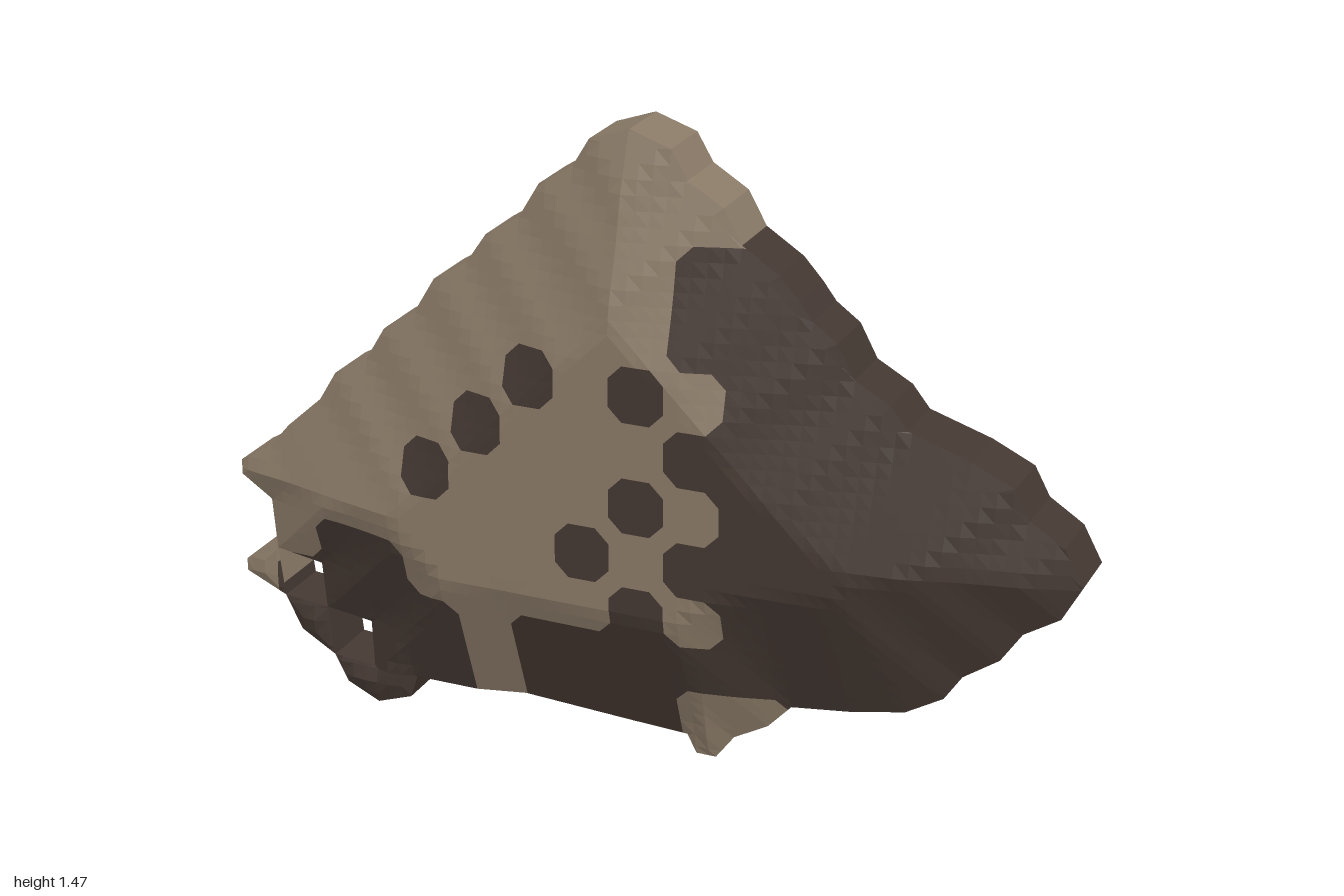
import * as THREE from 'three';

const CELL = 0.128, X0 = -0.021, Y0 = 0.087, SUB = 4; // mosaic grid
const RIM = 0.07, DOME = 0.185, SLOPE = 0.37;         // half thickness at rim and centre

// Clockwise outlines; the small pieces touch the body only at their corners
const pieces = {
  wingBody: [
    [-0.02, 1.465], [0.075, 1.433], [0.112, 1.37], [0.193, 1.32], [0.235, 1.245], [0.32, 1.19],
    [0.365, 1.14], [0.395, 1.1], [0.45, 1.06], [0.49, 0.985], [0.57, 0.94], [0.61, 0.89],
    [0.75, 0.845], [0.845, 0.8], [0.88, 0.735], [0.957, 0.685], [1, 0.605], [0.957, 0.525],
    [0.877, 0.475], [0.83, 0.405], [0.75, 0.35], [0.71, 0.29], [0.625, 0.24], [0.5, 0.215],
    [0.364, 0.198], [0.31, 0.14], [0.23, 0.095], [0.187, 0.037], [0.14, 0.037], [0.118, 0.08],
    [-0.016, 0.086], [-0.28, 0.1], [-0.405, 0.085], [-0.56, 0.085], [-0.578, 0.03],
    [-0.663, 0], [-0.743, 0.037], [-0.775, 0.1], [-0.67, 0.09], [-0.675, 0.205],
    [-0.79, 0.22], [-0.8, 0.33], [-0.915, 0.348], [-0.925, 0.47], [-1, 0.52], [-1, 0.556],
    [-0.92, 0.605], [-0.87, 0.663], [-0.785, 0.74], [-0.743, 0.81], [-0.663, 0.855],
    [-0.615, 0.935], [-0.535, 0.99], [-0.487, 1.07], [-0.406, 1.12], [-0.358, 1.19],
    [-0.278, 1.24], [-0.23, 1.32], [-0.15, 1.37], [-0.112, 1.433],
  ],
  lowerHook: [[-0.775, 0.1], [-0.86, 0.15], [-0.9, 0.23], [-0.79, 0.22]],
  tailTip: [[-0.9, 0.23], [-1, 0.275], [-1, 0.305], [-0.915, 0.348]],
};

// Mosaic rule: is the grid cell (column i, row j) dark?
const spots = new Set(['-6,2', '-5,2', '0,2', '-1,3', '-4,4', '0,4', '-3,5', '-2,6', '0,6']);
function isDark(i, j) {
  j = Math.max(j, 0);
  if (j >= 9 || i <= -8) return false;
  if (j === 0) return i !== -3 && i !== 1 && i !== 2;
  if (j === 1) return i !== -3;
  if (spots.has(i + ',' + j)) return true;
  const edge = j === 2 || j === 4 || j === 6 ? 2 : 1;
  return i >= edge;
}

// A lone cell corner takes the colour around it, which rounds the spots
function cornerDark(i, j, sx, sy) {
  const own = isDark(i, j);
  const alone = isDark(i + sx, j) !== own && isDark(i, j + sy) !== own;
  return alone && (own || isDark(i + sx, j + sy) !== own) ? !own : own;
}

function area(p) {
  return p.reduce((s, a, k) => {
    const b = p[(k + 1) % p.length];
    return s + (a[0] * b[1] - b[0] * a[1]) / 2;
  }, 0);
}

// Clip a polygon by a convex counter-clockwise tile
function clip(poly, tile) {
  let out = poly;
  tile.forEach((a, k) => {
    const b = tile[(k + 1) % tile.length];
    const side = (p) => (b[0] - a[0]) * (p[1] - a[1]) - (b[1] - a[1]) * (p[0] - a[0]);
    const next = [];
    out.forEach((p, n) => {
      const q = out[(n + 1) % out.length], sp = side(p), sq = side(q);
      if (sp >= 0) next.push(p);
      if ((sp > 0 && sq < 0) || (sp < 0 && sq > 0)) {
        const t = sp / (sp - sq);
        next.push([p[0] + (q[0] - p[0]) * t, p[1] + (q[1] - p[1]) * t]);
      }
    });
    out = next;
  });
  return out;
}

// Half thickness grows with the distance from the outline
function halfDepth(p, outline) {
  let d = Infinity;
  outline.forEach((a, k) => {
    const b = outline[(k + 1) % outline.length];
    const ux = b[0] - a[0], uy = b[1] - a[1];
    let t = ((p[0] - a[0]) * ux + (p[1] - a[1]) * uy) / (ux * ux + uy * uy);
    t = Math.min(1, Math.max(0, t));
    d = Math.min(d, Math.hypot(p[0] - a[0] - ux * t, p[1] - a[1] - uy * t));
  });
  return Math.min(DOME, RIM + SLOPE * d);
}

// Domed front and back for one tile
function addTile(tile, outline, target) {
  const poly = clip(outline, tile);
  if (poly.length < 3 || Math.abs(area(poly)) < 1e-8) return;
  const pts = poly.map((p) => new THREE.Vector2(p[0], p[1]));
  for (const tri of THREE.ShapeUtils.triangulateShape(pts, [])) {
    let t = tri.map((n) => poly[n]);
    const size = area(t);
    if (Math.abs(size) < 1e-9) continue;
    if (size < 0) t = t.reverse();
    const v = t.map((p) => [p[0], p[1], halfDepth(p, outline)]);
    v.forEach((p) => target.push(...p));
    v.reverse().forEach((p) => target.push(p[0], p[1], -p[2]));
  }
}

function addFaces(outline, light, dark) {
  const s = CELL / SUB, last = SUB - 1;
  for (let i = -8; i <= 8; i++) for (let j = -1; j <= 10; j++) {
    for (let m = 0; m < SUB; m++) for (let n = 0; n < SUB; n++) {
      const x = X0 + i * CELL + m * s, y = Y0 + j * CELL + n * s;
      const c = [[x, y], [x + s, y], [x + s, y + s], [x, y + s]];
      const own = isDark(i, j);
      const isCorner = (m === 0 || m === last) && (n === 0 || n === last);
      const sx = m === 0 ? -1 : 1, sy = n === 0 ? -1 : 1;
      if (isCorner && cornerDark(i, j, sx, sy) !== own) {
        const k = sy < 0 ? (sx < 0 ? 0 : 1) : (sx > 0 ? 2 : 3);
        const at = (o) => c[(k + o) % 4];
        addTile([at(3), at(0), at(1)], outline, own ? light : dark);
        addTile([at(1), at(2), at(3)], outline, own ? dark : light);
      } else addTile(c, outline, own ? dark : light);
    }
  }
}

// Straight rim wall around the outline
function addRim(outline, light, dark) {
  outline.forEach((a, k) => {
    const b = outline[(k + 1) % outline.length];
    const dx = b[0] - a[0], dy = b[1] - a[1], len = Math.hypot(dx, dy);
    const at = (t) => [a[0] + dx * t, a[1] + dy * t];
    for (let n = 0; n < 4; n++) {
      const p = at(n / 4), q = at((n + 1) / 4), mid = at((n + 0.5) / 4);
      const i = Math.floor((mid[0] + (dy / len) * 0.015 - X0) / CELL);
      const j = Math.floor((mid[1] - (dx / len) * 0.015 - Y0) / CELL);
      (isDark(i, j) ? dark : light).push(
        ...p, -RIM, ...q, RIM, ...q, -RIM,
        ...p, -RIM, ...p, RIM, ...q, RIM);
    }
  });
}

export function createModel() {
  const model = new THREE.Group();
  model.name = 'mosaicWing';
  const lightBrown = new THREE.MeshStandardMaterial({ color: 0x8b7b68 });
  lightBrown.name = 'lightBrown';
  const darkBrown = new THREE.MeshStandardMaterial({ color: 0x443832 });
  darkBrown.name = 'darkBrown';

  for (const [name, outline] of Object.entries(pieces)) {
    const part = new THREE.Group();
    part.name = name;
    const light = [], dark = [];
    addFaces(outline, light, dark);
    addRim(outline, light, dark);
    for (const [label, data, material] of [['Light', light, lightBrown], ['Dark', dark, darkBrown]]) {
      if (!data.length) continue;
      const geometry = new THREE.BufferGeometry();
      geometry.setAttribute('position', new THREE.Float32BufferAttribute(data, 3));
      geometry.computeVertexNormals();
      const mesh = new THREE.Mesh(geometry, material);
      mesh.name = name + label;
      part.add(mesh);
    }
    model.add(part);
  }
  return model;
}
